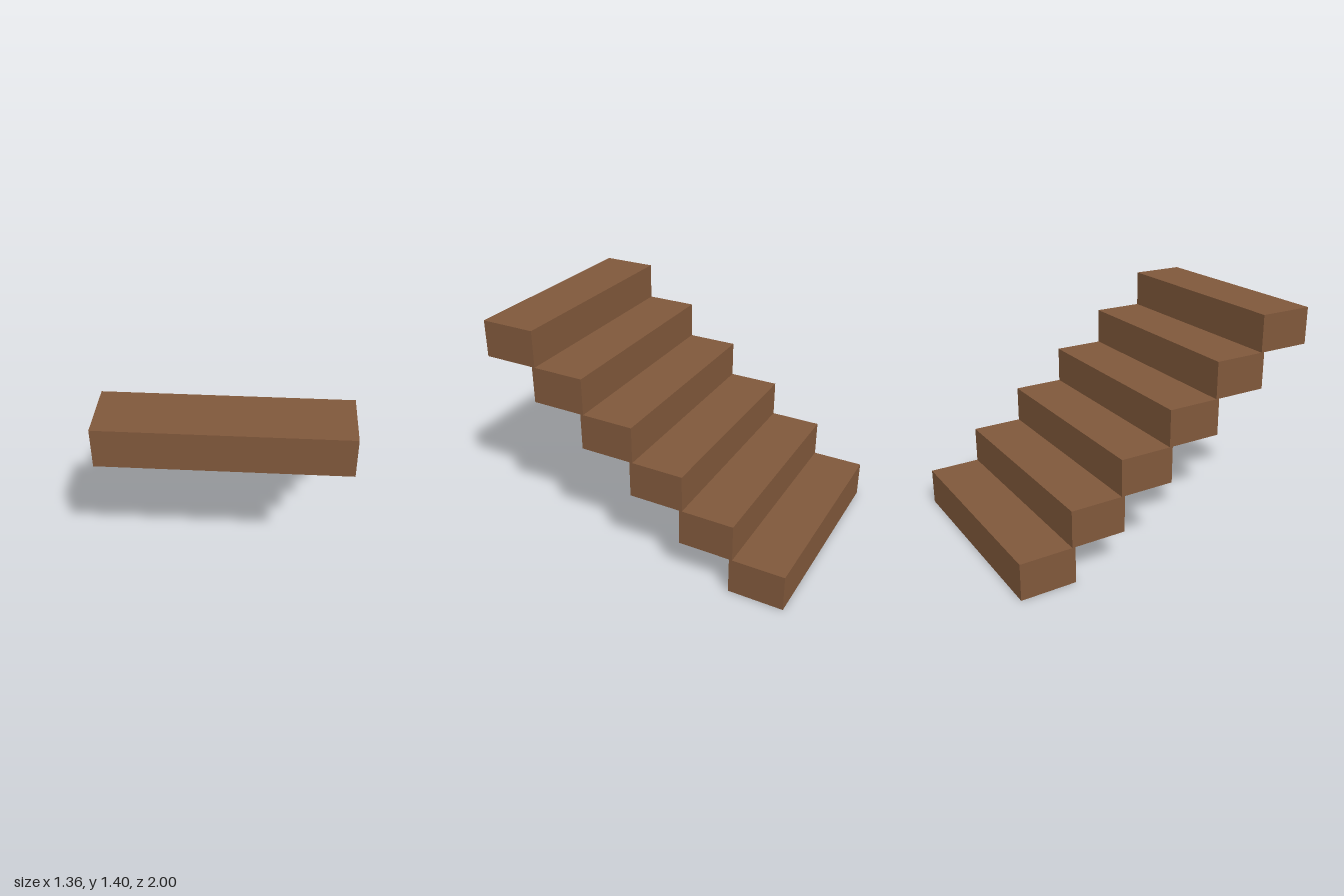
import * as THREE from 'three';

// Straight flight of six solid block steps, rising towards the front
export function createModel() {
  const stairs = new THREE.Group();
  stairs.name = 'stairs';

  const wood = new THREE.MeshStandardMaterial({ color: 0x80583b });
  wood.name = 'brown wood';

  const count = 6;
  const width = 1.36;
  const rise = 1.4 / count;
  const depth = 0.35; // each tread slightly overlaps the one below
  const run = (2 - depth) / (count - 1);
  const block = new THREE.BoxGeometry(width, rise, depth);

  for (let i = 0; i < count; i++) {
    const step = new THREE.Mesh(block, wood);
    step.name = `step${i + 1}`;
    step.position.set(0, rise * (i + 0.5), -1 + depth / 2 + run * i);
    stairs.add(step);
  }
  return stairs;
}
